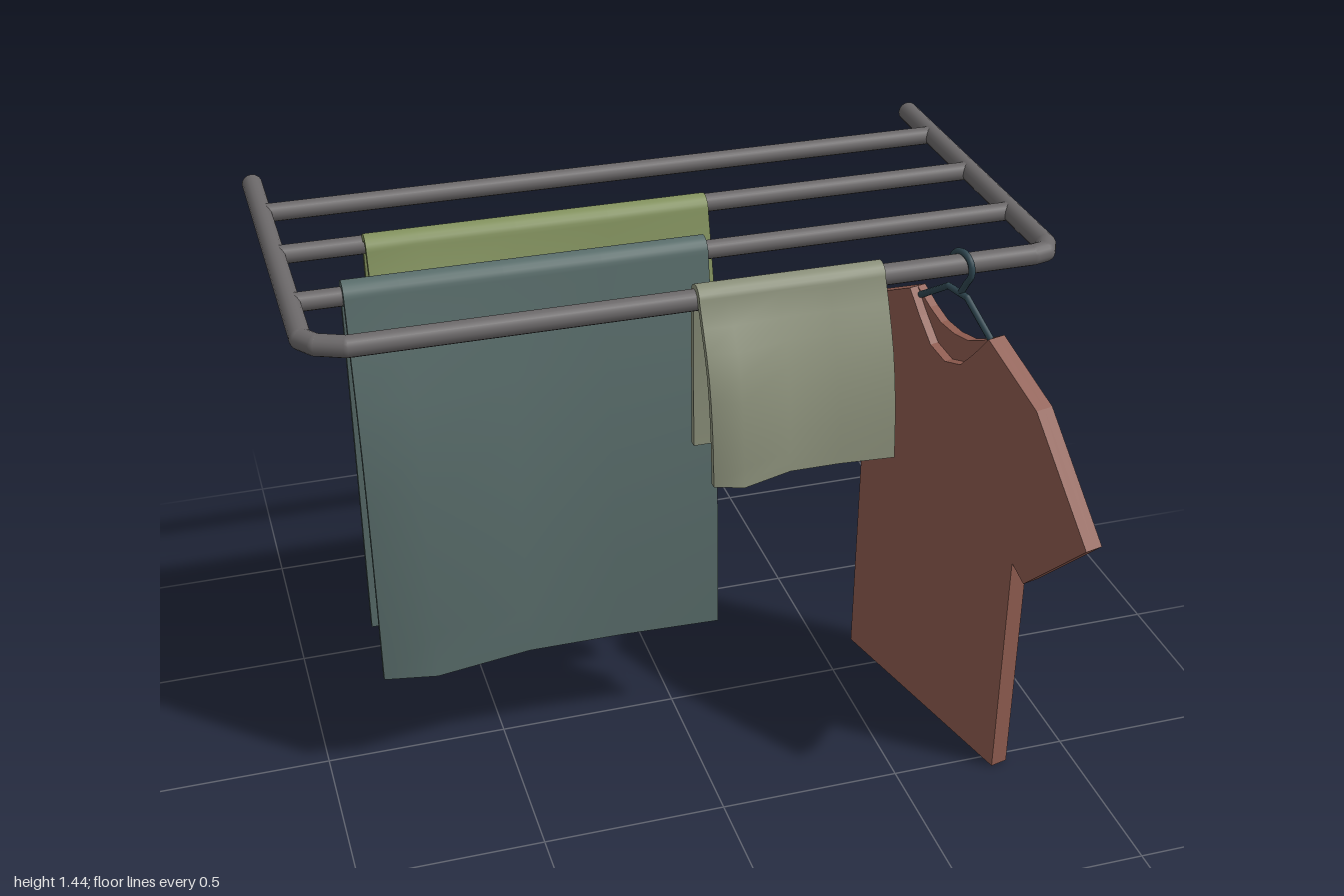
import * as THREE from 'three';
import { toCreasedNormals } from 'three/addons/utils/BufferGeometryUtils.js';

const RAIL_Y = 1.4;
const mat = (color, side = THREE.FrontSide) => new THREE.MeshStandardMaterial({ color, side });

function addMesh(parent, name, geometry, material) {
  const mesh = new THREE.Mesh(geometry, material);
  mesh.name = name;
  parent.add(mesh);
  return mesh;
}

// Straight pipe between two points
function addPipe(parent, name, a, b, radius, material, sides = 16) {
  const dir = b.clone().sub(a);
  const pipe = addMesh(parent, name, new THREE.CylinderGeometry(radius, radius, dir.length(), sides, 1, true), material);
  pipe.position.copy(a).add(b).multiplyScalar(0.5);
  pipe.quaternion.setFromUnitVectors(new THREE.Vector3(0, 1, 0), dir.normalize());
}

// Chain of pipes with round joints
function addPipeChain(parent, name, points, radius, material, sides) {
  points.forEach((p, i) => {
    if (i === 0) return;
    addPipe(parent, name, points[i - 1], p, radius, material, sides);
    if (i < points.length - 1)
      addMesh(parent, name + 'Joint', new THREE.SphereGeometry(radius, 16, 10), material).position.copy(p);
  });
}

function createFrame() {
  const frame = new THREE.Group();
  frame.name = 'rackFrame';
  const metal = mat(0x6b6869, THREE.DoubleSide);
  const path = [[-0.97, -0.815], [-0.97, 0.14], [-0.94, 0.18], [-0.87, 0.21],
    [0.91, 0.21], [0.95, 0.2], [0.97, 0.16], [0.97, -0.8]]
    .map(([x, z]) => new THREE.Vector3(x, RAIL_Y, z));
  addPipeChain(frame, 'outerRail', path, 0.028, metal);
  for (const z of [-0.61, -0.34, -0.057])
    addPipe(frame, 'crossBar', new THREE.Vector3(-0.96, RAIL_Y, z), new THREE.Vector3(0.96, RAIL_Y, z), 0.025, metal);
  return frame;
}

// Cloth centre line in (z, y): up the front, over the rail, down the back
function clothLine(frontY, backY, wave) {
  const pts = [], r = 0.028, zc = 0.035, top = 1.406;
  for (let i = 8; i >= 1; i--) {
    const t = i / 8;
    const z = zc + r + 0.112 * t + 0.025 * Math.sin(Math.PI * t) + wave * Math.min(1, 3 * t);
    pts.push([z, top + (frontY - top) * t]);
  }
  for (let i = 0; i <= 10; i++) {
    const a = Math.PI * i / 10;
    pts.push([zc + r * Math.cos(a), top + r * Math.sin(a)]);
  }
  pts.push([zc - r + 0.014, backY]);
  return pts;
}

// Closed ring around the cloth thickness
function clothRing(line, half) {
  const outer = [], inner = [];
  line.forEach(([z, y], i) => {
    const p = line[Math.max(0, i - 1)], q = line[Math.min(line.length - 1, i + 1)];
    const tz = q[0] - p[0], ty = q[1] - p[1], len = Math.hypot(tz, ty);
    const nz = ty / len * half, ny = -tz / len * half;
    outer.push([z + nz, y + ny]);
    inner.unshift([z - nz, y - ny]);
  });
  return outer.concat(inner);
}

function createTowel(name, x0, x1, barZ, frontY, backY, color) {
  const folds = [[0, 0.02], [0.15, 0.045], [0.43, 0.001], [0.7, 0.001], [1, 0.012]];
  const pos = [], index = [];
  let n = 0;
  for (const [f, wave] of folds) {
    const ring = clothRing(clothLine(frontY, backY, wave), 0.01);
    n = ring.length;
    for (const [z, y] of ring) pos.push(x0 + (x1 - x0) * f, y, barZ + z);
  }
  const quad = (a, b, c, d) => index.push(a, b, c, a, c, d);
  for (let s = 0; s < folds.length - 1; s++)
    for (let i = 0; i < n; i++) {
      const j = (i + 1) % n, a = s * n, b = a + n;
      quad(a + i, b + i, b + j, a + j);
    }
  const last = (folds.length - 1) * n;
  for (let i = 0; i < n / 2 - 1; i++) {
    const c = [i, i + 1, n - 2 - i, n - 1 - i];
    quad(...c);
    quad(...c.reverse().map((k) => k + last));
  }
  const geo = new THREE.BufferGeometry();
  geo.setAttribute('position', new THREE.Float32BufferAttribute(pos, 3));
  geo.setIndex(index);
  const mesh = new THREE.Mesh(toCreasedNormals(geo, 0.7), mat(color));
  mesh.name = name;
  return mesh;
}

// One half of the shirt's thickness, mirrored about its middle, with its own neckline
function shirtPanel(neck) {
  const half = [[0.347, 0], [0.345, 0.68], [0.397, 0.645], [0.615, 0.87], [0.378, 1.155], [0.17, 1.262], ...neck];
  const outline = half.concat(half.filter(([x]) => x > 0).reverse().map(([x, y]) => [-x, y]));
  const shape = new THREE.Shape(outline.map(([x, y]) => new THREE.Vector2(x, y)));
  return new THREE.ExtrudeGeometry(shape, { depth: 0.025, bevelEnabled: false });
}

function createHangingShirt() {
  const group = new THREE.Group();
  group.name = 'hangingShirt';
  const cloth = mat(0x8f5c50);
  addMesh(group, 'shirtFront', shirtPanel([[0.12, 1.2], [0.065, 1.14], [0, 1.12]]), cloth);
  addMesh(group, 'shirtBack', shirtPanel([[0.11, 1.225], [0.06, 1.202], [0, 1.195]]), cloth).position.z = -0.025;

  // Wire hanger with its hook over the front rail
  const wire = mat(0x2f4650);
  const toPoints = (list) => list.map(([x, y]) => new THREE.Vector3(x, y, 0));
  addPipeChain(group, 'hangerArms', toPoints([[-0.33, 1.15], [-0.15, 1.245], [-0.04, 1.318],
    [0.04, 1.318], [0.15, 1.245], [0.33, 1.15]]), 0.009, wire, 8);
  const hook = new THREE.CatmullRomCurve3(toPoints([[0.012, 1.318], [0.03, 1.35], [0.05, 1.385],
    [0.043, 1.418], [0.012, 1.434], [-0.022, 1.422], [-0.036, 1.392]]));
  addMesh(group, 'hangerHook', new THREE.TubeGeometry(hook, 24, 0.009, 8), wire);

  group.position.set(0.712, 0, 0.202);
  group.rotation.y = -THREE.MathUtils.degToRad(76.2);
  return group;
}

export function createModel() {
  const model = new THREE.Group();
  model.name = 'dryingRack';
  model.add(
    createFrame(),
    createTowel('largeTowel', -0.84, 0.103, -0.087, 0.335, 0.39, 0x5a6e6c),
    createTowel('mediumTowel', -0.742, 0.182, -0.34, 0.663, 0.7, 0x84935f),
    createTowel('smallTowel', -0.003, 0.488, 0.182, 0.957, 0.98, 0x8d927c),
    createHangingShirt(),
  );
  return model;
}
